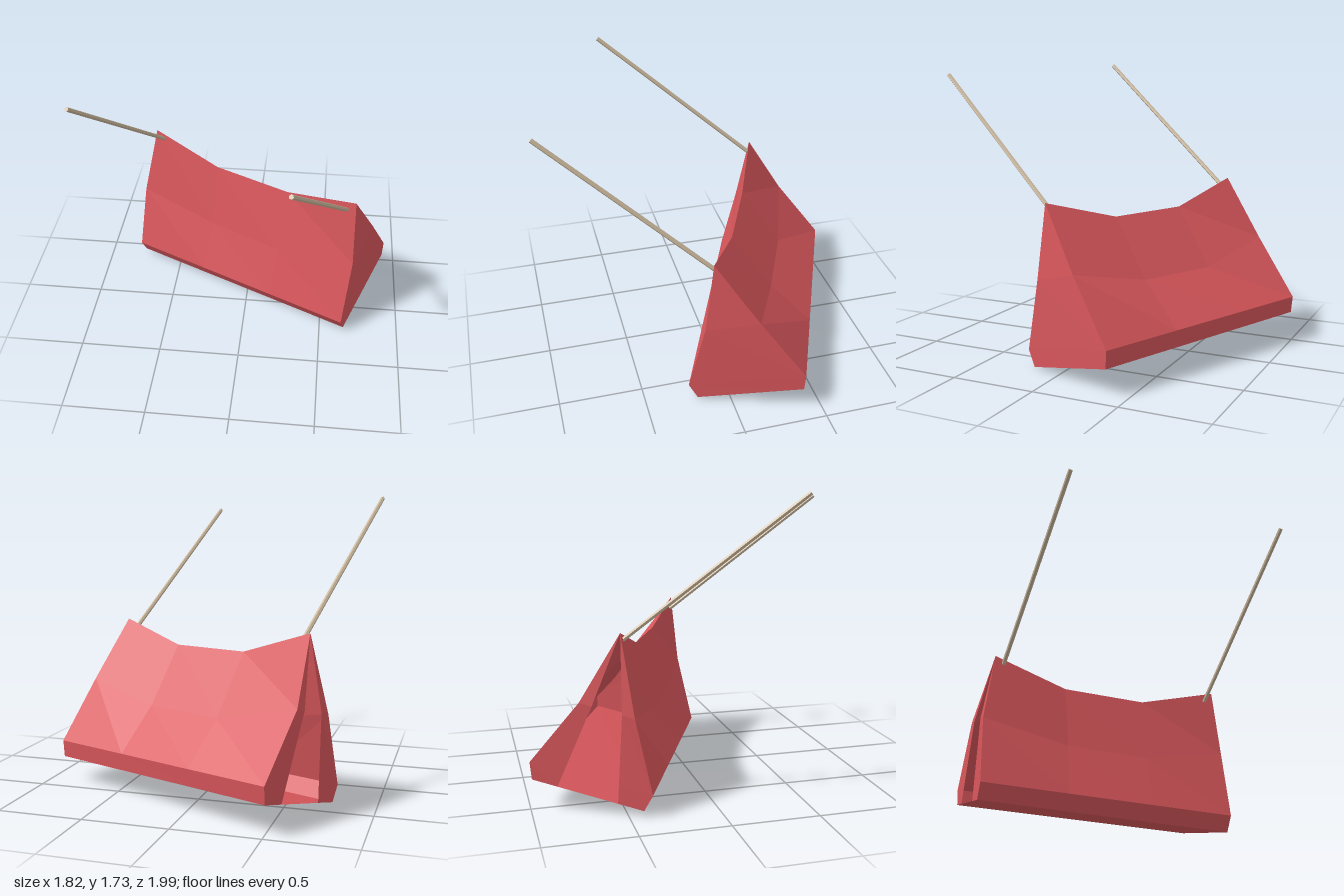
import * as THREE from 'three';

const V = (x, y, z) => new THREE.Vector3(x, y, z);
const mix = (a, b, t) => a.clone().lerp(b, t);

// Surface between neighbouring columns of points (columns run right to left, rows top to bottom)
function panel(name, columns, material) {
  const rows = columns[0].length;
  const index = [];
  for (let i = 0; i < columns.length - 1; i++) {
    for (let j = 0; j < rows - 1; j++) {
      const a = i * rows + j, b = a + rows;
      index.push(b, b + 1, a + 1, b, a + 1, a);
    }
  }
  const indexed = new THREE.BufferGeometry().setFromPoints(columns.flat());
  indexed.setIndex(index);
  const geometry = indexed.toNonIndexed();
  geometry.computeVertexNormals();
  const mesh = new THREE.Mesh(geometry, material);
  mesh.name = name;
  return mesh;
}

// Straight pole between two points
function pole(name, from, to, material) {
  const dir = to.clone().sub(from);
  const mesh = new THREE.Mesh(new THREE.CylinderGeometry(0.013, 0.013, dir.length(), 6), material);
  mesh.position.copy(mix(from, to, 0.5));
  mesh.quaternion.setFromUnitVectors(V(0, 1, 0), dir.normalize());
  mesh.name = name;
  return mesh;
}

export function createModel() {
  const canvas = new THREE.MeshStandardMaterial({ color: 0xd9575c, flatShading: true, side: THREE.DoubleSide });
  canvas.name = 'red canvas';
  const wood = new THREE.MeshStandardMaterial({ color: 0xcbb89d, flatShading: true });
  wood.name = 'pale wood';

  // Ridge, sagging between its two peaks
  const ridge = [V(0.67, 0.955, 0.1), V(0.25, 0.835, -0.13), V(-0.22, 0.845, -0.34), V(-0.64, 0.99, -0.515)];
  // Waist line of each wall, sagging like the ridge
  const frontWaist = [V(0.68, 0.52, 0.15), V(0.2, 0.425, -0.05), V(-0.25, 0.44, -0.26), V(-0.735, 0.54, -0.46)];
  const backWaist = [V(0.8, 0.6, -0.14), V(0.34, 0.5, -0.36), V(-0.13, 0.5, -0.57), V(-0.62, 0.62, -0.74)];
  // Straight hems: upper edge and lower edge, from the closed end to the open end
  const frontHem = [[V(0.635, 0.09, 0.24), V(-0.78, 0.12, -0.375)], [V(0.655, 0, 0.19), V(-0.76, 0.03, -0.42)]];
  const backHem = [[V(0.91, 0.25, -0.39), V(-0.51, 0.275, -1)], [V(0.905, 0.15, -0.385), V(-0.51, 0.175, -0.99)]];

  const wall = (waist, hem) => ridge.map((top, i) =>
    [top, waist[i], ...hem.map(([a, b]) => mix(a, b, i / 3))]);
  const front = wall(frontWaist, frontHem);
  const back = wall(backWaist, backHem);

  // Edge of a door flap; t runs from the back of the open end to its front
  const flapEdge = (t) => {
    const waist = mix(back[3][1], front[3][1], t);
    const foot = mix(back[3][3], front[3][3], t);
    return [ridge[3], waist, mix(waist, foot, 0.8), foot];
  };

  const tent = new THREE.Group();
  tent.name = 'tent';
  tent.add(
    panel('frontWall', front, canvas),
    panel('backWall', [...back].reverse(), canvas),
    panel('closedEnd', [back[0], front[0]], canvas),
    panel('frontDoorFlap', [front[3], flapEdge(0.77)], canvas),
    panel('backDoorFlap', [flapEdge(0.23), back[3]], canvas),
    panel('floor', [0, 3].map((i) => [front[i][3], back[i][3]]), canvas),
    pole('openEndPole', V(-0.592, 0.94, -0.495), V(-0.9, 1.722, 0.44), wood),
    pole('closedEndPole', V(0.618, 0.89, 0.08), V(0.313, 1.655, 0.985), wood),
  );
  return tent;
}
